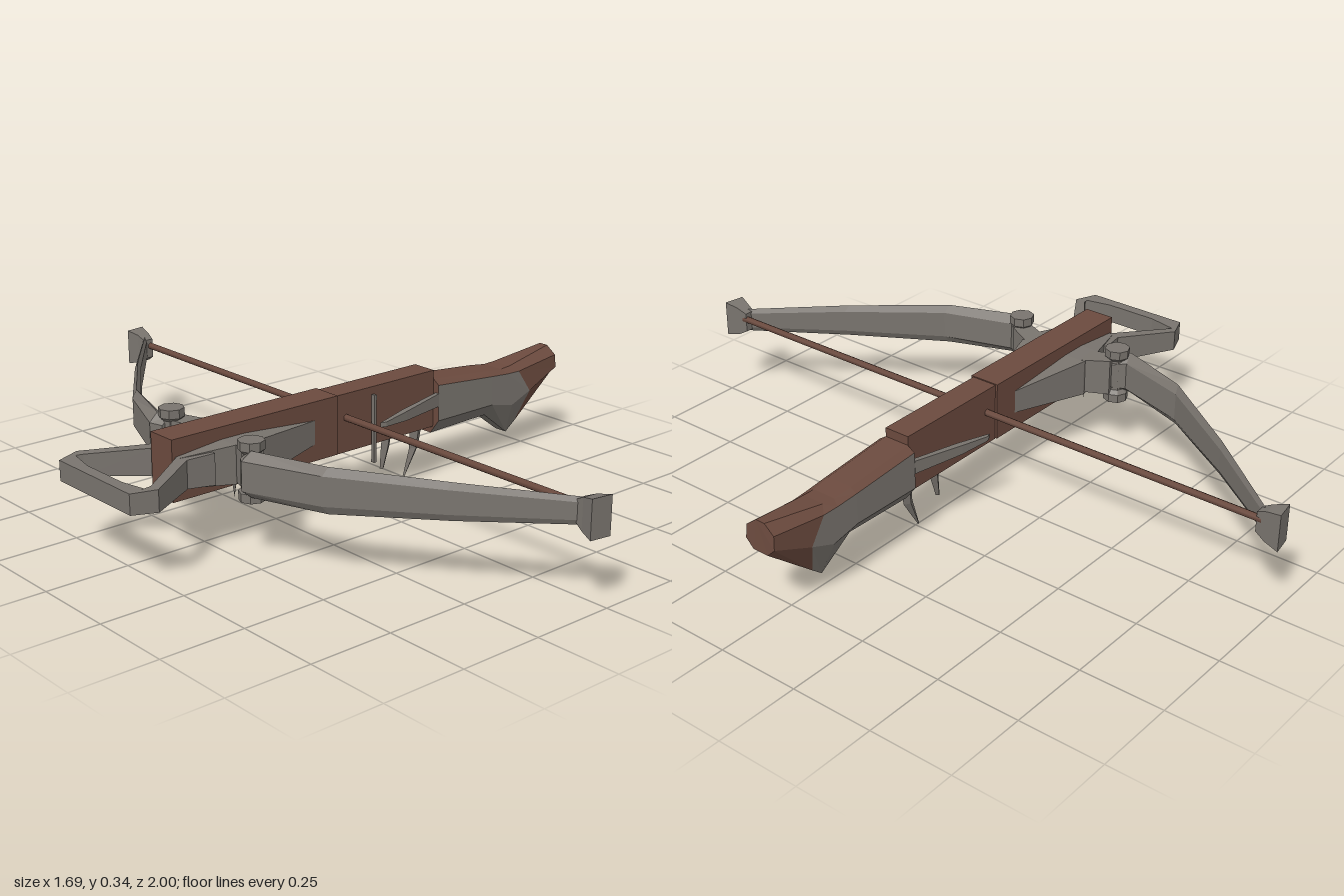
import * as THREE from 'three';

const wood = new THREE.MeshStandardMaterial({ color: 0x6b4a3e });
wood.name = 'brown wood';
const steel = new THREE.MeshStandardMaterial({ color: 0x79746e });
steel.name = 'grey steel';

// Closed faceted skin over a list of equal-sized rings; pick(i, j) returns 0 or 1 for each band face.
function loft(rings, pick = () => 0) {
  const buckets = [[], []];
  const n = rings[0].length;
  const last = rings.length - 1;
  for (let i = 0; i < last; i++) {
    for (let j = 0; j < n; j++) {
      const k = (j + 1) % n;
      const a = rings[i][j], b = rings[i][k], c = rings[i + 1][k], d = rings[i + 1][j];
      buckets[pick(i, j)].push([a, b, c], [a, c, d]);
    }
  }
  for (let j = 1; j < n - 1; j++) {
    buckets[0].push([rings[0][0], rings[0][j + 1], rings[0][j]]);
    buckets[0].push([rings[last][0], rings[last][j], rings[last][j + 1]]);
  }
  // Turn every face outwards by the sign of the enclosed volume
  const tris = buckets.flat();
  let volume = 0;
  for (const [a, b, c] of tris) {
    volume += new THREE.Vector3(...a).dot(new THREE.Vector3(...b).cross(new THREE.Vector3(...c)));
  }
  const points = tris.flatMap(([a, b, c]) => (volume < 0 ? [a, c, b] : [a, b, c])).flat();
  const geometry = new THREE.BufferGeometry();
  geometry.setAttribute('position', new THREE.Float32BufferAttribute(points, 3));
  geometry.computeVertexNormals();
  geometry.addGroup(0, buckets[0].length * 3, 0);
  geometry.addGroup(buckets[0].length * 3, buckets[1].length * 3, 1);
  return geometry;
}

// Upright bar through plan stations [x1, z1, x2, z2, yLow, yHigh]; ridged bars get a six-sided section.
function bar(stations, side = 1, ridged = false) {
  return loft(stations.map(([x1, z1, x2, z2, lo, hi]) => {
    const a = z1 * side, b = z2 * side;
    if (!ridged) return [[x1, lo, a], [x2, lo, b], [x2, hi, b], [x1, hi, a]];
    const mx = (x1 + x2) / 2, mz = (a + b) / 2, q = (hi - lo) * 0.18;
    return [[x1, lo + q, a], [mx, lo, mz], [x2, lo + q, b], [x2, hi - q, b], [mx, hi, mz], [x1, hi - q, a]];
  }));
}

export function createModel() {
  const model = new THREE.Group();
  model.name = 'crossbow';
  const add = (name, geometry, material) => {
    const mesh = new THREE.Mesh(geometry, material);
    mesh.name = name;
    model.add(mesh);
    return mesh;
  };
  const box = (name, x0, x1, y0, y1, width) =>
    add(name, new THREE.BoxGeometry(x1 - x0, y1 - y0, width), wood).position.set((x0 + x1) / 2, (y0 + y1) / 2, 0);

  // Tiller
  box('frontTiller', -0.63, -0.06, 0.16, 0.335, 0.094);
  box('rearTiller', -0.06, 0.32, 0.157, 0.332, 0.08);

  // Shoulder stock: half rings run from the top edge to the underside, then mirror
  const halves = [
    [[0.32, 0.305, 0.04], [0.32, 0.29, 0.062], [0.32, 0.18, 0.064], [0.32, 0.135, 0.03]],
    [[0.55, 0.283, 0.04], [0.55, 0.27, 0.06], [0.55, 0.18, 0.062], [0.55, 0.14, 0.03]],
    [[0.61, 0.276, 0.036], [0.62, 0.264, 0.058], [0.64, 0.16, 0.06], [0.655, 0.06, 0.022]],
    [[0.65, 0.278, 0.034], [0.67, 0.262, 0.056], [0.72, 0.19, 0.058], [0.69, 0.088, 0.024]],
    [[0.84, 0.305, 0.015], [0.842, 0.28, 0.048], [0.845, 0.24, 0.05], [0.845, 0.215, 0.025]],
  ];
  const rings = halves.map((h) => [...h, ...h.map(([x, y, z]) => [x, y, -z]).reverse()]);
  add('shoulderStock', loft(rings, (i, j) => (i < 3 && j > 0 && j < 6 ? 1 : 0)), [wood, steel]);

  // Stirrup: one closed ribbon from bracket to bracket
  const stirrupHalf = [
    [-0.53, 0.10, -0.53, 0.05, 0.2, 0.29],
    [-0.61, 0.085, -0.62, 0.05, 0.205, 0.285],
    [-0.772, 0.188, -0.772, 0.155, 0.213, 0.275],
    [-0.842, 0.162, -0.79, 0.165, 0.215, 0.273],
    [-0.842, 0.08, -0.808, 0.08, 0.215, 0.273],
  ];
  const otherHalf = stirrupHalf.map(([x1, z1, x2, z2, lo, hi]) => [x1, -z1, x2, -z2, lo, hi]).reverse();
  add('stirrup', bar([...stirrupHalf, ...otherHalf]), steel);

  // Pivot spool outline
  const spool = [[0, 0.168], [0.037, 0.168], [0.037, 0.193], [0.026, 0.205], [0.026, 0.3], [0.037, 0.31], [0.037, 0.335], [0, 0.335]]
    .map(([r, y]) => new THREE.Vector2(r, y));
  const spoolGeometry = new THREE.LatheGeometry(spool, 8).toNonIndexed();
  spoolGeometry.computeVertexNormals();

  for (const side of [1, -1]) {
    const label = side > 0 ? 'near' : 'far';
    // Side bracket and the arm reaching out to the pivot
    add(label + 'Bracket', bar([
      [-0.62, 0.04, -0.62, 0.06, 0.2, 0.285],
      [-0.47, 0.04, -0.47, 0.108, 0.19, 0.3],
      [-0.39, 0.04, -0.39, 0.115, 0.19, 0.3],
      [-0.14, 0.036, -0.14, 0.046, 0.21, 0.28],
    ], side), steel);
    add(label + 'BracketArm', bar([
      [-0.46, 0.09, -0.39, 0.1, 0.195, 0.3],
      [-0.49, 0.17, -0.43, 0.18, 0.195, 0.305],
    ], side), steel);
    add(label + 'Pivot', spoolGeometry, steel).position.set(-0.47, 0, 0.178 * side);

    // Bow limb with flared tip
    add(label + 'Limb', bar([
      [-0.505, 0.175, -0.44, 0.18, 0.195, 0.31],
      [-0.525, 0.205, -0.465, 0.215, 0.188, 0.318],
      [-0.435, 0.42, -0.4, 0.43, 0.187, 0.315],
      [-0.25, 0.68, -0.22, 0.69, 0.2, 0.303],
      [-0.042, 0.94, -0.018, 0.95, 0.215, 0.288],
    ], side, true), steel);
    add(label + 'LimbTip', bar([
      [-0.048, 0.925, -0.015, 0.925, 0.222, 0.282],
      [-0.052, 0.95, -0.01, 0.955, 0.205, 0.295],
      [-0.065, 0.99, -0.002, 1.0, 0.195, 0.305],
    ], side), steel);

    // Swept lever beside the tiller
    add(label + 'Lever', bar([
      [0.05, 0.106, 0.065, 0.113, 0.232, 0.246],
      [0.16, 0.078, 0.16, 0.098, 0.226, 0.254],
      [0.32, 0.05, 0.32, 0.064, 0.225, 0.265],
    ], side), steel);

    // Small bracket pin
    add(label + 'BracketPin', new THREE.ConeGeometry(0.012, 0.07, 4).rotateX(Math.PI), steel)
      .position.set(-0.45, 0.175, 0.075 * side);
  }

  // Bowstring
  add('bowstring', new THREE.CylinderGeometry(0.011, 0.011, 1.9, 6).rotateX(Math.PI / 2), wood)
    .position.set(-0.022, 0.26, 0);

  // Catch pin on the near side
  add('catchPin', new THREE.BoxGeometry(0.009, 0.205, 0.012), steel).position.set(0.075, 0.208, 0.05);

  // Blades under the tiller: [x, y, half length, half width] from root to tip
  const blade = (name, stations) => add(name, loft(stations.map(([x, y, l, w]) =>
    [[x - l, y, 0], [x, y, w], [x + l, y, 0], [x, y, -w]])), steel);
  blade('releaseLever', [[0.175, 0.19, 0.02, 0.014], [0.165, 0.12, 0.017, 0.012], [0.152, 0.055, 0.008, 0.006]]);
  blade('trigger', [[0.288, 0.16, 0.025, 0.014], [0.28, 0.09, 0.018, 0.011], [0.238, 0.0, 0.003, 0.003]]);

  return model;
}
